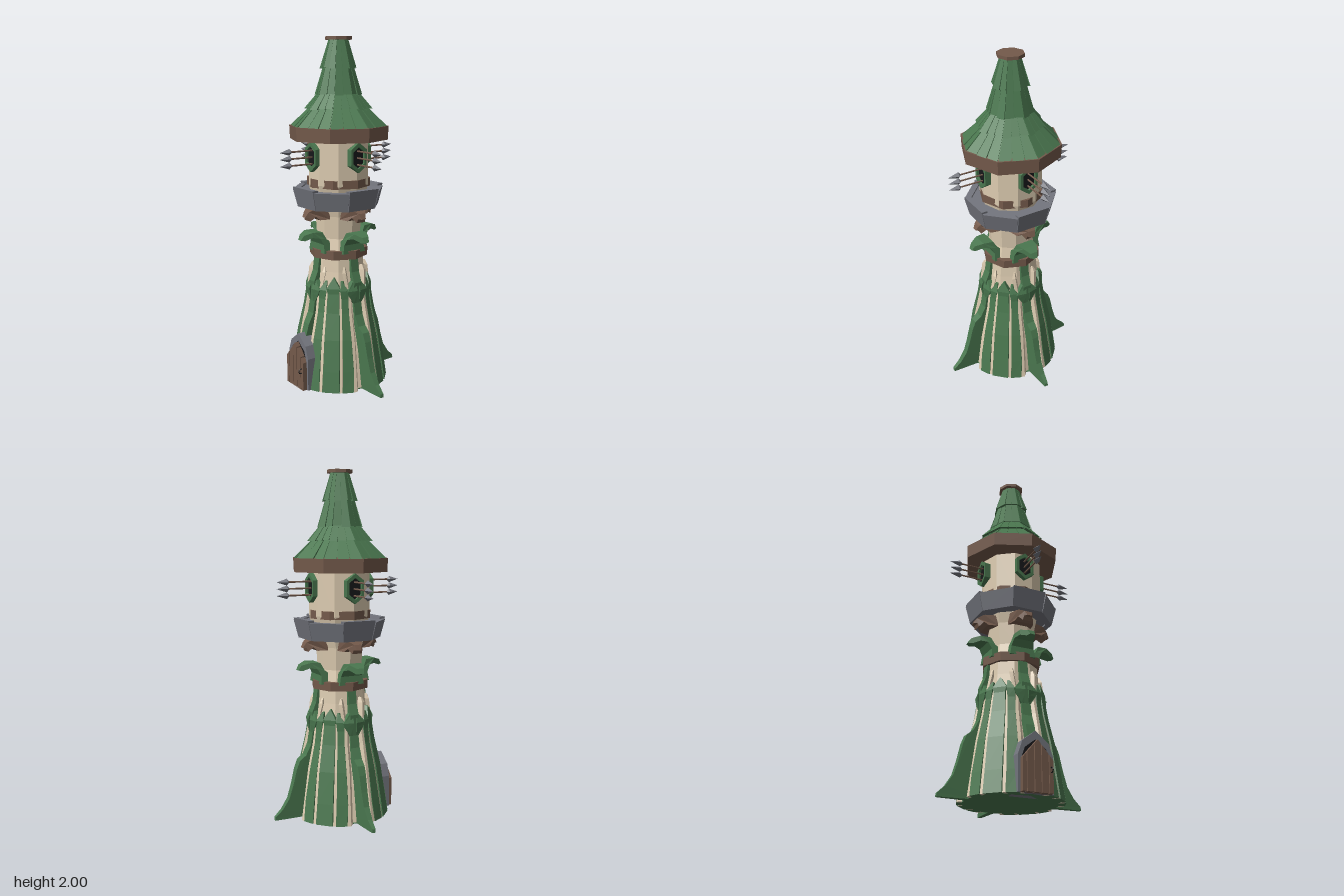
import * as THREE from 'three';

const mat = (name, color) => Object.assign(new THREE.MeshStandardMaterial({ color }), { name });

export function createModel() {
  const green = mat('leaf green', 0x4a774f), cream = mat('cream plaster', 0xdccbb0);
  const brown = mat('brown wood', 0x745a4b), grey = mat('grey stone', 0x74767e);
  const black = mat('black opening', 0x17181a);
  const model = new THREE.Group();
  const tower = new THREE.Group();
  tower.name = 'tower';
  tower.position.z = 0.012;
  model.add(tower);

  // faceted mesh
  const add = (parent, name, geo, material) => {
    const g = geo.index ? geo.toNonIndexed() : geo;
    g.computeVertexNormals();
    const m = new THREE.Mesh(g, material);
    m.name = name;
    parent.add(m);
    return m;
  };
  // group turned around the tower axis; its local +z points outward
  const spoke = (name, angle) => {
    const g = new THREE.Group();
    g.name = name;
    g.rotation.y = angle;
    tower.add(g);
    return g;
  };
  // solid through a stack of four-cornered rings
  const loft = rings => {
    const p = [];
    const quad = (a, b, c, d) => [a, b, c, a, c, d].forEach(v => p.push(...v));
    for (let i = 0; i < rings.length - 1; i++)
      for (let k = 0; k < 4; k++) {
        const n = (k + 1) % 4;
        quad(rings[i][k], rings[i][n], rings[i + 1][n], rings[i + 1][k]);
      }
    const top = rings[rings.length - 1];
    quad(...top);
    quad(...[...rings[0]].reverse());
    return new THREE.BufferGeometry().setAttribute('position', new THREE.Float32BufferAttribute(p, 3));
  };
  // strip hugging the wall: rows of [y, sideways offset, half width, radius]
  const strip = (rows, depth) => loft(rows.map(([y, t, w, r]) => {
    const z = x => Math.sqrt(Math.max(r * r - x * x, 0.0004));
    const a = t - w, b = t + w;
    return [[a, y, z(a)], [b, y, z(b)], [b, y, z(b) - depth], [a, y, z(a) - depth]];
  }));
  // upright profile of [radius, y] given a width that varies by rule
  const fin = (profile, halfWidth) => {
    const s = new THREE.Shape(profile.map(([x, y]) => new THREE.Vector2(x, y)));
    const g = new THREE.ExtrudeGeometry(s, { depth: 2, bevelEnabled: false });
    g.translate(0, 0, -1).rotateY(-Math.PI / 2);
    const p = g.attributes.position;
    for (let i = 0; i < p.count; i++) p.setX(i, p.getX(i) * halfWidth(p.getZ(i), p.getY(i)));
    return g;
  };
  const ring = (name, rTop, rBottom, y0, y1, material, sides = 8) =>
    add(tower, name, new THREE.CylinderGeometry(rTop, rBottom, y1 - y0, sides).translate(0, (y0 + y1) / 2, 0), material);

  // wall
  const wall = [[0.262, 0.003], [0.25, 0.1], [0.235, 0.22], [0.2, 0.38], [0.172, 0.55], [0.155, 0.68], [0.147, 0.78],
    [0.13, 0.87], [0.138, 1.0], [0.16, 1.1], [0.178, 1.18], [0.175, 1.45]];
  add(tower, 'wall', new THREE.LatheGeometry(wall.map(([r, y]) => new THREE.Vector2(r, y)), 10)
    .rotateY(Math.PI / 10), cream);
  ring('baseSlab', 0.262, 0.262, 0, 0.005, green, 16);
  ring('lowerBelt', 0.172, 0.17, 0.755, 0.805, brown);
  ring('upperBelt', 0.185, 0.185, 1.165, 1.212, brown);

  // buttresses, curled leaves, brackets, windows and spears on the four axes
  const upperEdge = [[0.23, 0.37], [0.2, 0.43], [0.188, 0.5], [0.19, 0.62], [0.165, 0.68], [0.155, 0.76], [0.12, 0.76]];
  const fullFin = [[0.15, 0], [0.42, 0], [0.418, 0.02], [0.375, 0.06], [0.335, 0.12], [0.31, 0.2], [0.288, 0.29], [0.268, 0.34], ...upperEdge];
  const shortFin = [[0.15, 0.3], [0.25, 0.3], ...upperEdge];
  const curl = [[0.1, 0.79], [0.155, 0.79], [0.15, 0.84], [0.17, 0.878], [0.21, 0.885], [0.25, 0.868], [0.272, 0.872],
    [0.255, 0.9], [0.21, 0.915], [0.15, 0.912], [0.128, 0.87], [0.1, 0.85]];
  const claw = [[0.11, 0.985], [0.17, 0.985], [0.19, 1.005], [0.215, 0.978], [0.222, 1.0], [0.242, 1.0], [0.225, 1.03], [0.19, 1.05], [0.11, 1.05]];
  const hexagon = k => [[0, 0.085], [0.054, 0.045], [0.054, -0.045], [0, -0.085], [-0.054, -0.045], [-0.054, 0.045]]
    .map(([x, y]) => new THREE.Vector2(x * k, y * k));

  for (let i = 0; i < 4; i++) {
    const g = spoke('axisDetails', i * Math.PI / 2);
    add(g, 'buttress', fin(i ? fullFin : shortFin, r => r > 0.2 ? 0.028 - (r - 0.2) * 0.08 : 0.026), green);
    // pointed side flares of the buttress
    for (const s of [-1, 1])
      add(g, 'buttressFlare', strip([[0.5, s * 0.02, 0.008, 0.19], [0.545, s * 0.035, 0.022, 0.196],
        [0.575, s * 0.04, 0.03, 0.2], [0.63, s * 0.015, 0.01, 0.18]], 0.04), green);
    add(g, 'curledLeaf', fin(curl, (r, y) => r > 0.2 ? Math.max(0.012, 0.05 - (r - 0.2) * 0.5) : 0.078 - (y - 0.79) * 0.2), green);
    add(g, 'bracket', fin(claw, r => Math.max(0.014, 0.072 - Math.max(0, r - 0.15) * 0.65)), brown);

    const frame = new THREE.Shape(hexagon(1));
    frame.holes.push(new THREE.Path(hexagon(0.72).reverse()));
    add(g, 'windowFrame', new THREE.ExtrudeGeometry(frame, { depth: 0.055, bevelEnabled: false }).translate(0, 1.34, 0.14), green);
    add(g, 'windowOpening', new THREE.ShapeGeometry(new THREE.Shape(hexagon(0.8))).translate(0, 1.34, 0.181), black);
    for (const y of [1.3, 1.338, 1.376]) {
      add(g, 'spearShaft', new THREE.CylinderGeometry(0.005, 0.005, 0.18, 6).rotateX(Math.PI / 2).translate(0, y, 0.25), brown);
      add(g, 'spearHead', new THREE.ConeGeometry(0.019, 0.062, 4).rotateX(Math.PI / 2).translate(0, y, 0.362), grey);
      add(g, 'spearSocket', new THREE.ConeGeometry(0.019, 0.018, 4).rotateX(-Math.PI / 2).translate(0, y, 0.322), grey);
    }
  }

  // long leaf panels and pale trims on the four diagonals
  for (let i = 0; i < 4; i++) {
    const g = spoke('diagonalLeaves', (i + 0.5) * Math.PI / 2);
    add(g, 'middleLeaf', strip([[0, 0, 0.05, 0.29], [0.12, 0, 0.047, 0.272], [0.3, 0, 0.044, 0.243], [0.45, 0, 0.038, 0.208],
      [0.56, 0, 0.032, 0.19], [0.59, 0, 0.04, 0.192], [0.65, 0, 0.003, 0.172]], 0.045), green);
    for (const s of [-1, 1]) {
      add(g, 'innerTrim', strip([[0, s * 0.06, 0.008, 0.284], [0.3, s * 0.053, 0.008, 0.236], [0.45, s * 0.046, 0.007, 0.202],
        [0.6, s * 0.04, 0.007, 0.176]], 0.035), cream);
      add(g, 'sideLeaf', strip([[0, s * 0.1, 0.031, 0.29], [0.12, s * 0.098, 0.03, 0.272], [0.3, s * 0.085, 0.025, 0.24],
        [0.45, s * 0.071, 0.019, 0.206], [0.53, s * 0.066, 0.019, 0.194], [0.58, s * 0.062, 0.022, 0.194], [0.63, s * 0.045, 0.006, 0.175]], 0.04), green);
      add(g, 'outerTrim', strip([[0, s * 0.14, 0.01, 0.288], [0.3, s * 0.117, 0.009, 0.238], [0.45, s * 0.097, 0.008, 0.205],
        [0.52, s * 0.092, 0.008, 0.192], [0.6, s * 0.074, 0.008, 0.184], [0.68, s * 0.058, 0.01, 0.174], [0.71, s * 0.056, 0.004, 0.16]], 0.03), cream);
    }
  }

  // stone collar of flared plates
  ring('collarCore', 0.238, 0.215, 1.06, 1.145, grey).rotation.y = Math.PI / 8;
  for (let i = 0; i < 8; i++) {
    const g = spoke('collar', i * Math.PI / 4), high = i % 2 ? 0 : 0.012;
    add(g, 'collarPlate', loft([[1.048, 0.09, 0.222], [1.152 + high, 0.1, 0.248]].map(([y, w, z]) =>
      [[-w, y, z], [w, y, z], [w, y, z - 0.035], [-w, y, z - 0.035]])), grey);
  }

  // roof: eave, overlapping shingle tiers and cap
  ring('eave', 0.287, 0.283, 1.43, 1.508, brown);
  ring('eaveTop', 0.262, 0.28, 1.505, 1.515, brown);
  const onOctagon = (r, a, y) => {
    const f = a % (Math.PI / 4) - Math.PI / 8;
    const d = r * Math.cos(Math.PI / 8) / Math.cos(f);
    return [d * Math.sin(a), y, d * Math.cos(a)];
  };
  const tiers = [[1.508, 0.272, 1.64, 0.135], [1.612, 0.186, 1.71, 0.1], [1.69, 0.125, 1.85, 0.08], [1.835, 0.096, 1.985, 0.052]];
  tiers.forEach(([y0, r0, y1, r1], t) => {
    ring('roofTier', r1, r0 - 0.006, y0 + 0.004, y1, green);
    const n = t < 2 ? 24 : 16, step = Math.PI * 2 / n;
    for (let i = 0; i < n; i++) {
      const lift = [0.004, 0.012, 0.007][(i + t) % 3];
      const a = i * step + 0.012, b = (i + 1) * step - 0.012;
      const row = (r, y, d) => [onOctagon(r, a, y), onOctagon(r, b, y), onOctagon(r - d, b, y), onOctagon(r - d, a, y)];
      add(tower, 'shingle', loft([row(r0 + lift, y0 - (t ? lift * 0.8 : 0), 0.02), row(r1 + 0.004, y1, 0.012)]), green);
    }
  });
  ring('roofCap', 0.076, 0.076, 1.982, 2, brown);

  // pointed doorway
  const door = new THREE.Group();
  door.name = 'doorway';
  model.add(door);
  const arch = (w, shoulder, peak) => [[-w, 0], [w, 0], [w, shoulder], [w * 0.75, shoulder + (peak - shoulder) * 0.55], [0, peak],
    [-w * 0.75, shoulder + (peak - shoulder) * 0.55], [-w, shoulder]].map(([x, y]) => new THREE.Vector2(x, y));
  const surround = new THREE.Shape(arch(0.1, 0.19, 0.32));
  surround.holes.push(new THREE.Path(arch(0.082, 0.17, 0.275).reverse().map(p => p.setY(Math.max(p.y, 0.002)))));
  add(door, 'doorSurround', new THREE.ExtrudeGeometry(surround, { depth: 0.12, bevelEnabled: false }).translate(0, 0, 0.18), grey);
  add(door, 'doorGap', new THREE.ShapeGeometry(new THREE.Shape(arch(0.083, 0.17, 0.277))).translate(0, 0, 0.297), black);
  const top = x => 0.268 - Math.abs(x) * 1.15;
  for (const [x0, x1] of [[-0.086, -0.064], [-0.06, -0.022], [-0.018, 0], [0, 0.018], [0.022, 0.06], [0.064, 0.086]]) {
    const plank = new THREE.Shape([[x0, 0], [x1, 0], [x1, top(x1)], [x0, top(x0)]].map(([x, y]) => new THREE.Vector2(x, y)));
    add(door, 'doorPlank', new THREE.ExtrudeGeometry(plank, { depth: 0.035, bevelEnabled: false }).translate(0, 0, 0.29), brown);
  }
  add(door, 'doorHandle', new THREE.TorusGeometry(0.014, 0.003, 5, 10).rotateY(Math.PI / 2).translate(0.073, 0.118, 0.332), black);

  return model;
}
